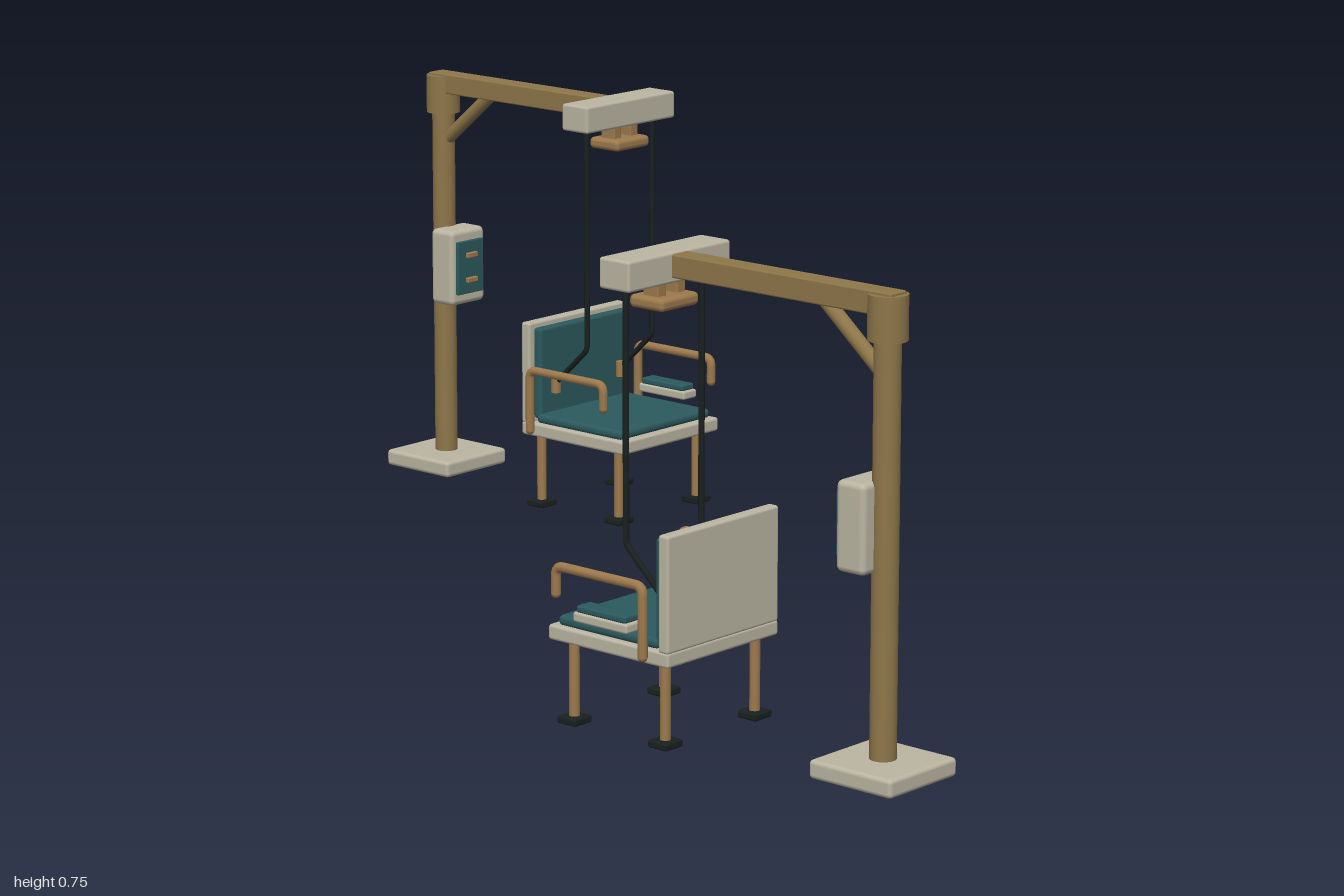
import * as THREE from 'three';
import { RoundedBoxGeometry } from 'three/addons/geometries/RoundedBoxGeometry.js';

const material = (name, color) => {
  const m = new THREE.MeshStandardMaterial({ color });
  m.name = name;
  return m;
};

export function createModel() {
  const cream = material('creamPanel', 0xbbb6a3);
  const bronze = material('bronzePost', 0x8e7649);
  const copper = material('copperTrim', 0x9d7a4d);
  const teal = material('tealPadding', 0x2b5a5e);
  const black = material('blackCable', 0x18211f);

  // One station: x is local, z runs from the post (-0.92) to the seat front (-0.35)
  function station() {
    const g = new THREE.Group();
    const add = (name, geometry, mat, x = 0, y = 0, z = 0) => {
      const mesh = new THREE.Mesh(geometry, mat);
      mesh.name = name;
      mesh.position.set(x, y, z);
      g.add(mesh);
      return mesh;
    };
    // Box given by size, bottom height and centre, with a softened edge
    const box = (name, mat, [w, h, d], [x, y0, z], r = 0.005) =>
      add(name, new RoundedBoxGeometry(w, h, d, 2, Math.min(r, h / 2.1, w / 2.1, d / 2.1)), mat, x, y0 + h / 2, z);
    const rod = (name, mat, r, y0, y1, x, z, sides = 16) =>
      add(name, new THREE.CylinderGeometry(r, r, y1 - y0, sides), mat, x, (y0 + y1) / 2, z);
    // Straight rod between two points
    const strut = (name, mat, r, a, b) => {
      const dir = new THREE.Vector3().subVectors(b, a);
      const m = add(name, new THREE.CylinderGeometry(r, r, dir.length(), 14), mat);
      m.position.copy(a).addScaledVector(dir, 0.5);
      m.quaternion.setFromUnitVectors(new THREE.Vector3(0, 1, 0), dir.normalize());
      return m;
    };
    const V = (x, y, z) => new THREE.Vector3(x, y, z);
    // Bent tube through straight segments with rounded corners
    const bentTube = (name, mat, r, points, bend) => {
      const path = new THREE.CurvePath();
      let from = points[0];
      for (let i = 1; i < points.length - 1; i++) {
        const p = points[i];
        const a = p.clone().add(points[i - 1].clone().sub(p).setLength(bend));
        const b = p.clone().add(points[i + 1].clone().sub(p).setLength(bend));
        path.add(new THREE.LineCurve3(from, a));
        path.add(new THREE.QuadraticBezierCurve3(a, p, b));
        from = b;
      }
      const end = points[points.length - 1];
      path.add(new THREE.LineCurve3(from, end));
      add(name, new THREE.TubeGeometry(path, 60, r, 10), mat);
      // closed ends
      for (const p of [points[0], end]) add(name + 'End', new THREE.SphereGeometry(r, 10, 6), mat, p.x, p.y, p.z);
    };

    // Gantry
    box('basePlate', cream, [0.16, 0.03, 0.16], [0, 0, -0.92], 0.007);
    rod('post', bronze, 0.021, 0.03, 0.69, 0, -0.92, 24);
    rod('postCap', bronze, 0.031, 0.675, 0.745, 0, -0.92, 24);
    box('beam', bronze, [0.038, 0.037, 0.44], [0, 0.713, -0.72], 0.003);
    strut('brace', bronze, 0.012, V(0, 0.625, -0.91), V(0, 0.722, -0.795));
    box('crossHead', cream, [0.235, 0.049, 0.062], [0, 0.704, -0.48]);

    // Plate hung under the cross head
    box('trolleyPlate', copper, [0.088, 0.021, 0.07], [0, 0.662, -0.478], 0.008);
    for (const s of [-1, 1]) box('trolleyHanger', copper, [0.02, 0.028, 0.032], [s * 0.022, 0.68, -0.478], 0.003);

    // Control box on the post
    box('controlBox', cream, [0.089, 0.142, 0.056], [0, 0.319, -0.886], 0.01);
    box('controlPanel', teal, [0.068, 0.1, 0.008], [0, 0.34, -0.856], 0.002);
    for (const y of [0.361, 0.408]) box('controlHandle', copper, [0.027, 0.01, 0.008], [0, y, -0.85], 0.002);

    // Seat
    box('seatPan', cream, [0.26, 0.025, 0.25], [0, 0.134, -0.477]);
    box('seatCushion', teal, [0.244, 0.018, 0.208], [0, 0.157, -0.469], 0.008);
    box('backPanel', cream, [0.26, 0.187, 0.021], [0, 0.156, -0.5915]);
    box('backCushion', teal, [0.236, 0.168, 0.019], [0, 0.165, -0.574], 0.006);

    for (const s of [-1, 1]) {
      // Cables bending back to sockets on the backrest
      bentTube('cable', black, 0.005,
        [V(s * 0.0875, 0.71, -0.478), V(s * 0.0875, 0.302, -0.478), V(s * 0.0875, 0.23, -0.555)], 0.008);
      rod('cableSocket', copper, 0.009, 0.212, 0.24, s * 0.0875, -0.555);

      // Armrests
      const x = s * 0.146;
      bentTube('armrest', copper, 0.008,
        [V(x, 0.15, -0.565), V(x, 0.262, -0.565), V(x, 0.262, -0.385), V(x, 0.218, -0.385)], 0.015);

      // Legs and feet
      for (const z of [-0.575, -0.385]) {
        rod('leg', copper, 0.0085, 0.01, 0.136, s * 0.105, z);
        box('foot', black, [0.04, 0.012, 0.038], [s * 0.105, 0, z], 0.003);
      }
    }

    // Side pod beside the seat
    box('sidePod', cream, [0.036, 0.016, 0.112], [0.134, 0.181, -0.481], 0.004);
    box('sidePodPad', teal, [0.032, 0.012, 0.102], [0.134, 0.196, -0.481], 0.004);
    return g;
  }

  // Two stations facing opposite ways
  const model = new THREE.Group();
  model.name = 'hoistStations';
  for (const [name, turn] of [['rearStation', 0], ['frontStation', Math.PI]]) {
    const pivot = new THREE.Group();
    pivot.name = name;
    const unit = station();
    unit.name = 'hoistChair';
    unit.position.x = 0.475;
    pivot.add(unit);
    pivot.rotation.y = turn;
    model.add(pivot);
  }
  return model;
}
